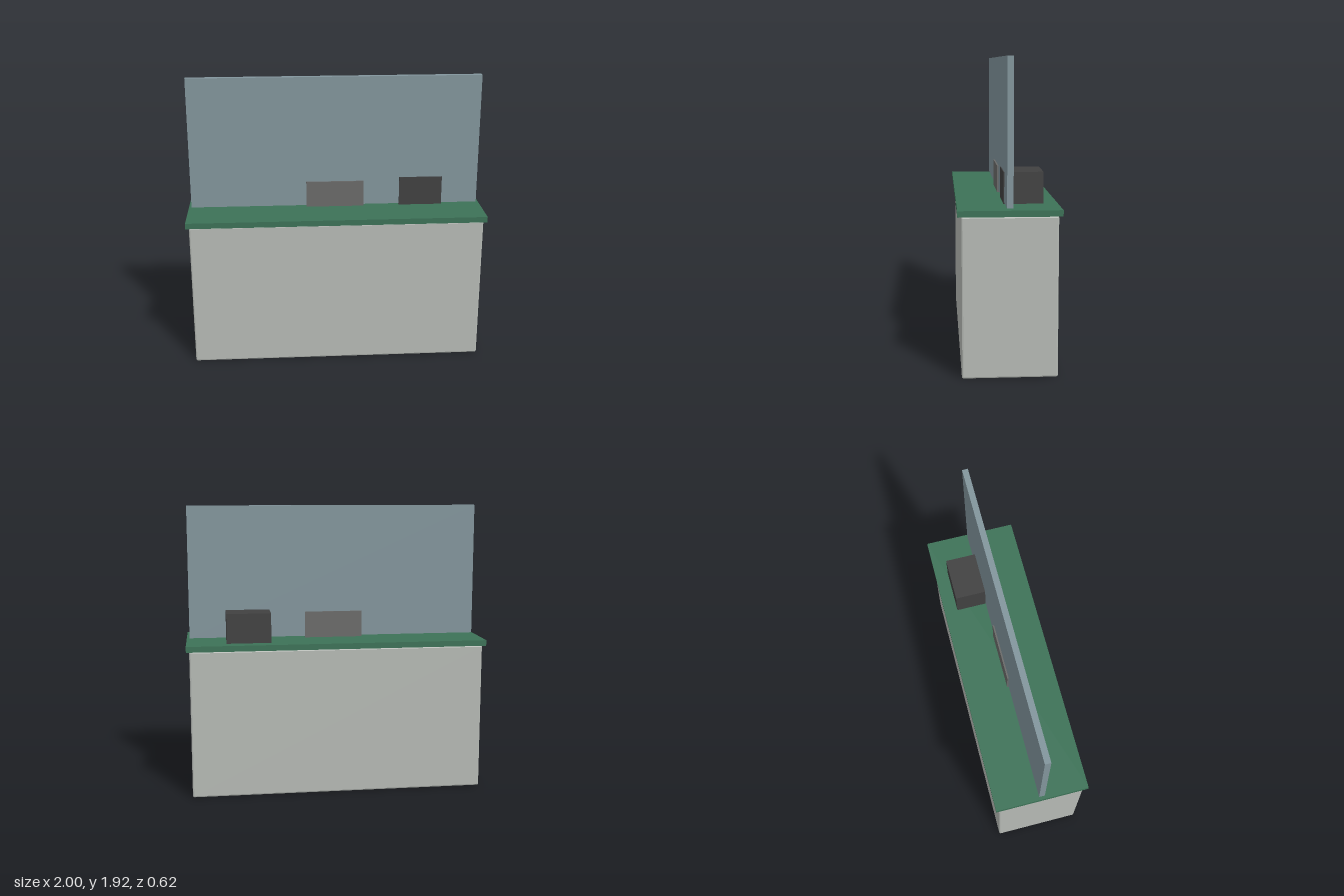
import * as THREE from 'three';
import { RoundedBoxGeometry } from 'three/addons/geometries/RoundedBoxGeometry.js';

function material(name, color) {
  const m = new THREE.MeshStandardMaterial({ color });
  m.name = name;
  return m;
}

export function createModel() {
  const group = new THREE.Group();
  group.name = 'serviceCounter';

  const paleGrey = material('pale grey', 0xb6bab5);
  const green = material('green', 0x3c7257);
  const blueGrey = material('blue grey', 0x82959c);
  const midGrey = material('mid grey', 0x6a6a69);
  const charcoal = material('charcoal', 0x414141);

  // Places a geometry by its centre
  function add(name, geometry, mat, x, y, z) {
    const mesh = new THREE.Mesh(geometry, mat);
    mesh.name = name;
    mesh.position.set(x, y, z);
    group.add(mesh);
  }

  // Cabinet with a narrow chamfer on every edge
  const cabinet = new RoundedBoxGeometry(1.96, 0.985, 0.58, 1, 0.01);
  cabinet.computeVertexNormals();
  add('cabinet', cabinet, paleGrey, 0, 0.4925, 0);

  // Overhanging worktop
  add('worktop', new THREE.BoxGeometry(2, 0.038, 0.624), green, 0, 1.004, 0);

  // Screen held just above the worktop
  add('screen', new THREE.BoxGeometry(1.96, 0.887, 0.038), blueGrey, 0, 1.4755, 0);

  // Hatch through the middle of the screen
  add('hatch', new THREE.BoxGeometry(0.392, 0.177, 0.058), midGrey, 0, 1.1115, 0);

  // Register behind the screen, its face just showing at the front
  add('register', new THREE.BoxGeometry(0.294, 0.197, 0.247), charcoal, 0.588, 1.1215, -0.099);

  return group;
}
